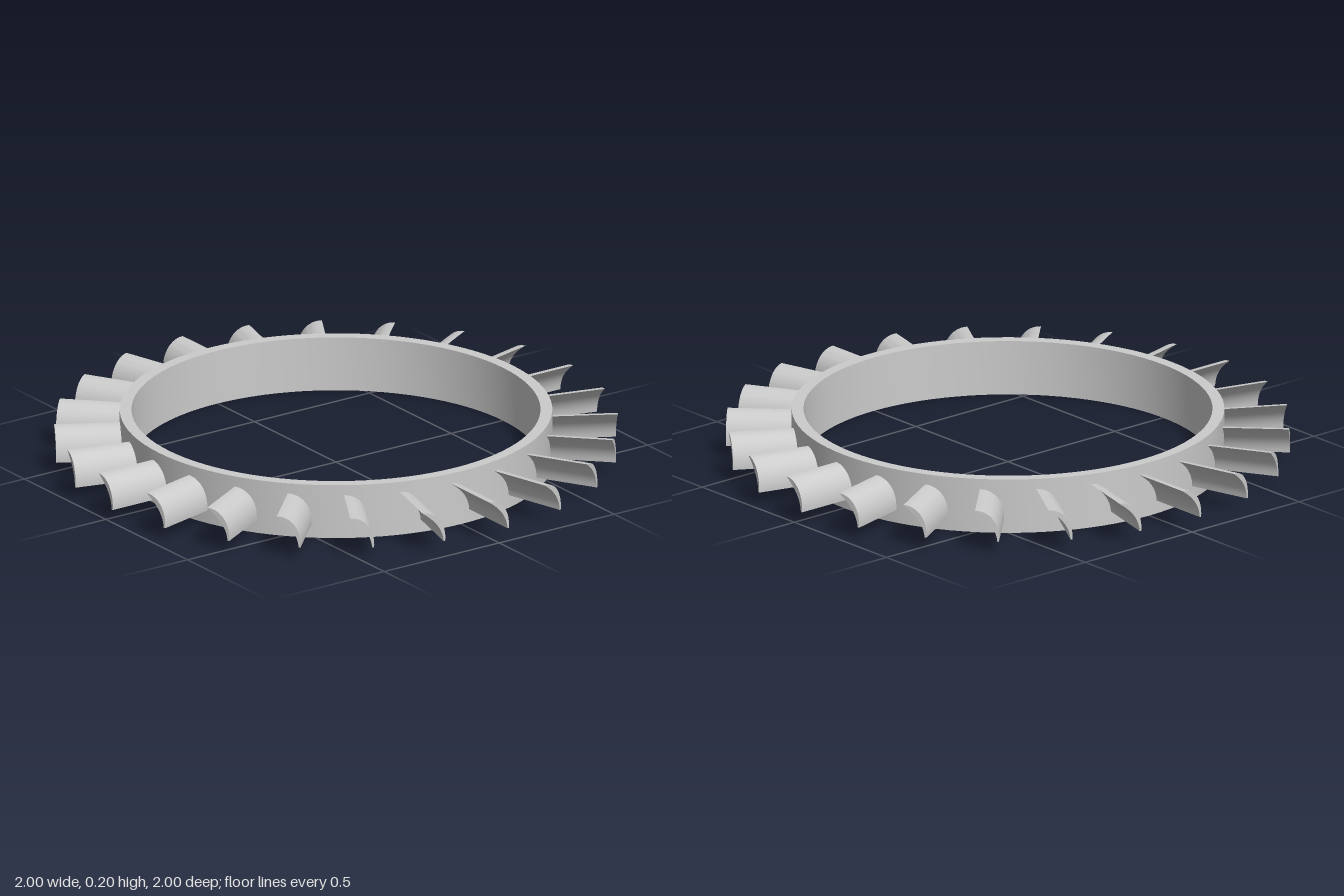
import * as THREE from 'three';
import { toCreasedNormals } from 'three/addons/utils/BufferGeometryUtils.js';

const BLADES = 24;
const INNER = 0.725, OUTER = 0.767, HEIGHT = 0.2;

export function createModel() {
  const model = new THREE.Group();
  model.name = 'bladedRing';
  const material = new THREE.MeshStandardMaterial({ color: 0xcccccc });

  // Plain ring with a rectangular section
  const section = [[INNER, 0], [OUTER, 0], [OUTER, HEIGHT], [INNER, HEIGHT], [INNER, 0]];
  const ringGeometry = new THREE.LatheGeometry(section.map(([r, y]) => new THREE.Vector2(r, y)), 96);
  const ring = new THREE.Mesh(toCreasedNormals(ringGeometry, 0.6), material);
  ring.name = 'ring';
  model.add(ring);

  // Curved blade: a thin crescent extruded outward from inside the ring wall
  const crescent = new THREE.Shape();
  crescent.moveTo(-0.043, 0.162);
  crescent.bezierCurveTo(-0.023, 0.146, 0.032, 0.112, 0.036, 0.048);
  crescent.lineTo(0.042, 0.048);
  crescent.bezierCurveTo(0.048, 0.108, 0.015, 0.162, -0.043, 0.162);
  const bladeGeometry = toCreasedNormals(
    new THREE.ExtrudeGeometry(crescent, { depth: 0.25, bevelEnabled: false, curveSegments: 14 }), 0.6);
  bladeGeometry.translate(0, 0, 0.75);

  // Blades evenly spaced around the ring
  const blades = new THREE.Group();
  blades.name = 'blades';
  for (let i = 0; i < BLADES; i++) {
    const blade = new THREE.Mesh(bladeGeometry, material);
    blade.name = 'blade';
    blade.rotation.y = (i / BLADES) * Math.PI * 2;
    blades.add(blade);
  }
  model.add(blades);
  return model;
}
